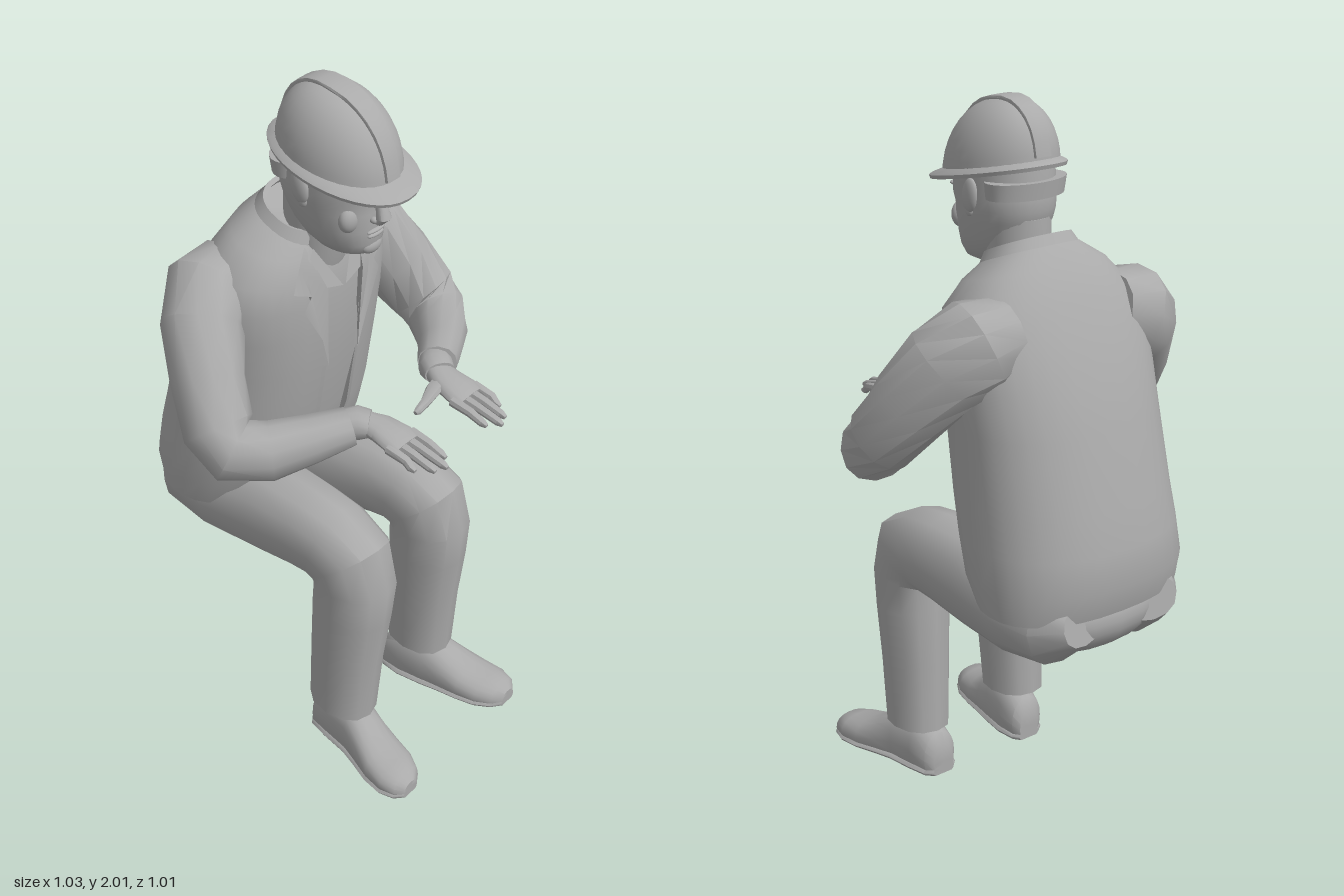
import * as THREE from 'three';
import { toCreasedNormals } from 'three/addons/utils/BufferGeometryUtils.js';

const V = (x, y, z) => new THREE.Vector3(x, y, z);
const clay = new THREE.MeshStandardMaterial({ color: 0xaaaaaa, side: THREE.DoubleSide });
clay.name = 'plain grey';

// Power curve that squares off an ellipse when p < 1
const pw = (v, p) => Math.sign(v) * Math.abs(v) ** p;

// Surface from rows of points; fn(u, row), u running 0..1 around each row
function grid(fn, nu, rows, closed = true, caps = closed, crease = 0.7) {
  const pos = [], idx = [], n = closed ? nu : nu + 1;
  for (let j = 0; j < rows; j++) for (let i = 0; i < n; i++) pos.push(...fn(i / nu, j).toArray());
  for (let j = 0; j < rows - 1; j++) for (let i = 0; i < nu; i++) {
    const a = j * n + i, b = j * n + (i + 1) % n;
    idx.push(a, b, b + n, a, b + n, a + n);
  }
  if (caps) for (const j of [0, rows - 1]) {
    const c = V(0, 0, 0), k = pos.length / 3;
    for (let i = 0; i < n; i++) c.add(fn(i / nu, j));
    pos.push(...c.divideScalar(n).toArray());
    for (let i = 0; i < n; i++) {
      const a = j * n + i, b = j * n + (i + 1) % n;
      idx.push(...(j ? [a, b, k] : [b, a, k]));
    }
  }
  const g = new THREE.BufferGeometry();
  g.setAttribute('position', new THREE.Float32BufferAttribute(pos, 3));
  g.setIndex(idx);
  return toCreasedNormals(g, crease);
}

// Limb along a path of [x, y, z, radius along ref, other radius]
function limb(path, ref = V(1, 0, 0), nu = 14, p = 0.9) {
  const pts = path.map(q => V(q[0], q[1], q[2]));
  const frames = pts.map((c, j) => {
    const t = V(0, 0, 0);
    if (j > 0) t.add(c.clone().sub(pts[j - 1]).normalize());
    if (j < pts.length - 1) t.add(pts[j + 1].clone().sub(c).normalize());
    t.normalize();
    const u = ref.clone().addScaledVector(t, -ref.dot(t)).normalize();
    return [u, t.cross(u)];
  });
  return grid((f, j) => {
    const a = f * Math.PI * 2, q = path[j];
    return pts[j].clone().addScaledVector(frames[j][0], q[3] * pw(Math.cos(a), p))
      .addScaledVector(frames[j][1], (q[4] ?? q[3]) * pw(Math.sin(a), p));
  }, nu, path.length);
}

// Upright body from level sections [y, front z, back z, half width, forward tilt]
function level(sec, { nu = 28, p = 0.85, grow = 0, gap = null } = {}) {
  return grid((f, j) => {
    const [y, zf, zb, w, tilt = 0] = sec[j], g = gap ? gap[j] : 0;
    const a = -Math.PI / 2 + g + f * (Math.PI * 2 - 2 * g);
    const dz = -((zf - zb) / 2 + grow) * pw(Math.sin(a), p);
    return V((w + grow) * pw(Math.cos(a), p), y - tilt * dz, (zf + zb) / 2 + dz);
  }, nu, sec.length, !gap);
}

const TORSO = [
  [0.72, -0.12, -0.485, 0.30], [0.80, -0.06, -0.508, 0.31], [0.90, -0.02, -0.495, 0.305],
  [1.0, 0.005, -0.47, 0.30], [1.2, 0.035, -0.42, 0.295], [1.32, 0.045, -0.38, 0.30],
  [1.42, 0.045, -0.335, 0.30, 0.05], [1.5, 0.04, -0.29, 0.275, 0.12], [1.57, 0.025, -0.24, 0.205, 0.25],
  [1.61, 0.01, -0.195, 0.135, 0.38],
];

// Depth of the chest at a given x and y
function chestZ(x, y) {
  const rows = TORSO.map(([h, zf, zb, w, t = 0]) => [h - t * (zf - zb) / 2, zf, zb, w]);
  let k = rows.findIndex(r => r[0] > y);
  k = k < 1 ? rows.length - 1 : k;
  const f = Math.min(1, (y - rows[k - 1][0]) / (rows[k][0] - rows[k - 1][0]));
  const [, zf, zb, w] = rows[k].map((v, i) => rows[k - 1][i] + (v - rows[k - 1][i]) * f);
  const c = Math.min(0.98, Math.abs(x / w)) ** (1 / 0.85);
  return (zf + zb) / 2 + (zf - zb) / 2 * Math.sqrt(1 - c * c) ** 0.85;
}

// Thin cloth patch laid on the chest
function patch(points, s, lift) {
  const g = new THREE.ShapeGeometry(new THREE.Shape(points.map(([x, y]) => new THREE.Vector2(x * s, y))));
  const a = g.attributes.position;
  for (let i = 0; i < a.count; i++) a.setZ(i, chestZ(a.getX(i), a.getY(i)) + lift);
  g.computeVertexNormals();
  return g;
}

export function createModel() {
  const model = new THREE.Group();
  model.name = 'seatedWorker';
  const add = (name, geo, x = 0, y = 0, z = 0, sx = 1, sy = 1, sz = 1) => {
    const m = new THREE.Mesh(geo, clay);
    m.name = name;
    m.position.set(x, y, z);
    m.scale.set(sx, sy, sz);
    model.add(m);
    return m;
  };
  const ball = new THREE.SphereGeometry(1, 20, 14);

  // Clothing on the torso
  add('shirt', level(TORSO, { grow: -0.012 }));
  add('jacket', level(TORSO, { gap: [0.16, 0.16, 0.16, 0.16, 0.16, 0.17, 0.2, 0.28, 0.42, 0.6], nu: 30 }));
  add('jacketCollar', level([
    [1.585, 0.02, -0.205, 0.15, 0.38], [1.635, 0.01, -0.175, 0.118, 0.42], [1.63, 0.0, -0.165, 0.108, 0.42],
  ], { gap: [0.6, 0.6, 0.6] }));
  add('pelvis', ball, 0, 0.69, -0.31, 0.27, 0.125, 0.175);

  // Neck and head
  add('neck', level([[1.46, 0.02, -0.13, 0.085], [1.56, 0.05, -0.135, 0.085], [1.7, 0.06, -0.13, 0.09]], { p: 1 }));
  add('head', level([
    [1.56, 0.125, 0.02, 0.04], [1.572, 0.143, -0.03, 0.066], [1.60, 0.153, -0.07, 0.086],
    [1.64, 0.153, -0.10, 0.102], [1.69, 0.156, -0.125, 0.113], [1.72, 0.152, -0.132, 0.119],
    [1.75, 0.162, -0.133, 0.122], [1.83, 0.158, -0.125, 0.122],
  ], { p: 0.92 }));
  add('nose', limb([[0, 1.75, 0.155, 0.012, 0.01], [0, 1.71, 0.167, 0.015, 0.014],
    [0, 1.68, 0.176, 0.022, 0.017], [0, 1.665, 0.165, 0.02, 0.012]]));
  add('upperLip', ball, 0, 1.637, 0.151, 0.034, 0.006, 0.010);
  add('lowerLip', ball, 0, 1.624, 0.150, 0.030, 0.007, 0.010);
  add('chin', ball, 0, 1.588, 0.136, 0.036, 0.024, 0.020);

  // Hard hat: tilted dome, brim with a peak, raised ridge
  const tilt = z => 1.807 - 0.2 * (z - 0.03);
  const oval = (f, w, zf, zb, lift) => {
    const a = f * Math.PI * 2, z = (zf + zb) / 2 - (zf - zb) / 2 * Math.sin(a);
    return V(w * pw(Math.cos(a), 0.9), tilt(z) + lift, z);
  };
  add('helmetDome', grid((f, j) => {
    const a = j / 9 * 1.5, k = Math.cos(a) ** 0.88;
    return oval(f, 0.138 * k, 0.03 + 0.172 * k, 0.03 - 0.172 * k, 0.187 * Math.sin(a));
  }, 32, 10));
  const BRIM = [[0.13, 0.19, -0.13, -0.004], [0.153, 0.252, -0.163, -0.008],
    [0.156, 0.256, -0.166, 0.002], [0.150, 0.245, -0.160, 0.008], [0.13, 0.19, -0.13, 0.02]];
  add('helmetBrim', grid((f, j) => oval(f, ...BRIM[j]), 36, BRIM.length, true, false));
  const ridge = [];
  for (let i = 0; i <= 14; i++) {
    const a = 0.12 + i / 14 * (Math.PI - 0.24), c = Math.cos(a);
    const z = 0.03 + 0.172 * pw(c, 0.88);
    ridge.push([0, tilt(z) + 0.187 * Math.sin(a), z, 0.036 - 0.01 * Math.abs(c), 0.007]);
  }
  add('helmetRidge', limb(ridge, V(1, 0, 0), 12, 0.4));
  add('helmetStrap', level([[1.755, 0.0, -0.14, 0.119], [1.80, 0.0, -0.145, 0.125]], { p: 1 }));

  for (const s of [1, -1]) {
    const side = s > 0 ? 'left' : 'right';
    const mir = path => path.map(([x, ...r]) => [x * s, ...r]);

    // Face details
    add(side + 'Ear', ball, s * 0.122, 1.757, 0.005, 0.014, 0.046, 0.028).rotation.x = -0.15;
    add(side + 'EarLobe', ball, s * 0.119, 1.72, 0.012, 0.010, 0.02, 0.014);
    add(side + 'Brow', ball, s * 0.045, 1.757, 0.143, 0.036, 0.010, 0.014).rotation.z = s * 0.08;
    add(side + 'Eye', ball, s * 0.045, 1.733, 0.137, 0.021, 0.009, 0.010);
    add(side + 'Nostril', ball, s * 0.017, 1.672, 0.158, 0.010, 0.009, 0.012);
    add(side + 'Cheek', ball, s * 0.062, 1.68, 0.115, 0.034, 0.038, 0.024);

    // Lapels and shirt collar
    add(side + 'Lapel', patch([[0.06, 1.2], [0.09, 1.3], [0.15, 1.41], [0.125, 1.45], [0.175, 1.47],
      [0.14, 1.53], [0.1, 1.57], [0.07, 1.45]], s, 0.014));
    add(side + 'ShirtCollar', patch([[0.005, 1.43], [0.07, 1.45], [0.1, 1.54], [0.08, 1.56]], s, 0.006));
    add(side + 'JacketEdge', patch([[0.062, 0.8], [0.075, 0.8], [0.075, 1.0], [0.075, 1.2], [0.06, 1.2],
      [0.06, 1.0]], s, 0.006));

    // Sleeve, bent at the elbow
    add(side + 'Sleeve', limb(mir([
      [0.17, 1.45, -0.20, 0.10, 0.10], [0.25, 1.43, -0.195, 0.125, 0.12], [0.325, 1.375, -0.155, 0.125, 0.11],
      [0.385, 1.27, -0.085, 0.11, 0.098], [0.425, 1.17, -0.015, 0.098, 0.092], [0.425, 1.125, 0.035, 0.088, 0.085],
      [0.36, 1.12, 0.105, 0.078, 0.075], [0.27, 1.14, 0.17, 0.064, 0.062], [0.185, 1.158, 0.225, 0.050, 0.054],
    ]), V(0, 1, 0), 12));

    // Gloved hand
    add(side + 'GloveCuff', limb(mir([[0.20, 1.16, 0.20, 0.04, 0.036], [0.165, 1.163, 0.235, 0.048, 0.042],
      [0.148, 1.163, 0.262, 0.043, 0.032]])));
    add(side + 'Palm', limb(mir([[0.155, 1.163, 0.24, 0.035, 0.028], [0.140, 1.158, 0.29, 0.047, 0.024],
      [0.136, 1.148, 0.345, 0.056, 0.021], [0.136, 1.141, 0.375, 0.053, 0.014]])));
    [[0.088, 0.465], [0.119, 0.494], [0.151, 0.48], [0.182, 0.44]].forEach(([x, z], i) => {
      add(side + 'Finger' + (i + 1), limb(mir([[x, 1.145, 0.35, 0.014], [x, 1.136, 0.41, 0.0125],
        [x, 1.122, z - 0.015, 0.011], [x, 1.118, z, 0.006]]), V(1, 0, 0), 8));
    });
    add(side + 'Thumb', limb(s > 0
      ? [[0.14, 1.155, 0.28, 0.018, 0.026], [0.085, 1.157, 0.29, 0.016, 0.022], [0.03, 1.152, 0.305, 0.013, 0.014],
        [-0.01, 1.15, 0.312, 0.011, 0.011], [-0.022, 1.149, 0.312, 0.006, 0.006]]
      : [[-0.13, 1.155, 0.265, 0.022], [-0.092, 1.14, 0.295, 0.018], [-0.072, 1.125, 0.34, 0.013],
        [-0.068, 1.115, 0.375, 0.008]], s > 0 ? V(0, 1, 0) : V(1, 0, 0), 8));

    // Trouser leg, bent at the knee
    add(side + 'TrouserLeg', limb(mir([
      [0.12, 0.71, -0.465, 0.08, 0.06], [0.135, 0.695, -0.39, 0.13, 0.115], [0.145, 0.695, -0.25, 0.135, 0.135],
      [0.15, 0.71, -0.08, 0.125, 0.142], [0.16, 0.72, 0.07, 0.115, 0.13], [0.163, 0.715, 0.155, 0.112, 0.124],
      [0.166, 0.685, 0.215, 0.110, 0.130], [0.168, 0.62, 0.235, 0.103, 0.118], [0.172, 0.52, 0.228, 0.098, 0.115],
      [0.176, 0.35, 0.215, 0.090, 0.107], [0.180, 0.145, 0.205, 0.082, 0.102],
    ]), V(1, 0, 0), 12));

    // Shoe and sole: sections [x, z, height, half width] run from heel to toe
    const shoe = [[0.163, 0.102, 0.09, 0.035], [0.166, 0.12, 0.13, 0.055], [0.17, 0.18, 0.165, 0.065],
      [0.182, 0.26, 0.16, 0.066], [0.198, 0.32, 0.125, 0.07], [0.214, 0.38, 0.09, 0.077],
      [0.226, 0.44, 0.076, 0.075], [0.234, 0.485, 0.064, 0.056], [0.237, 0.506, 0.045, 0.028]];
    const last = (top, wide) => grid((f, j) => {
      const [x, z, h, w] = shoe[j], a = f * Math.PI * 2, H = top ?? h;
      return V(s * x + w * wide * pw(Math.cos(a), 0.85), Math.max(0, H * (0.4 + 0.6 * pw(Math.sin(a), 0.9))), z);
    }, 18, shoe.length);
    add(side + 'Shoe', last(null, 1));
    add(side + 'Sole', last(0.03, 1.05));
  }
  return model;
}
